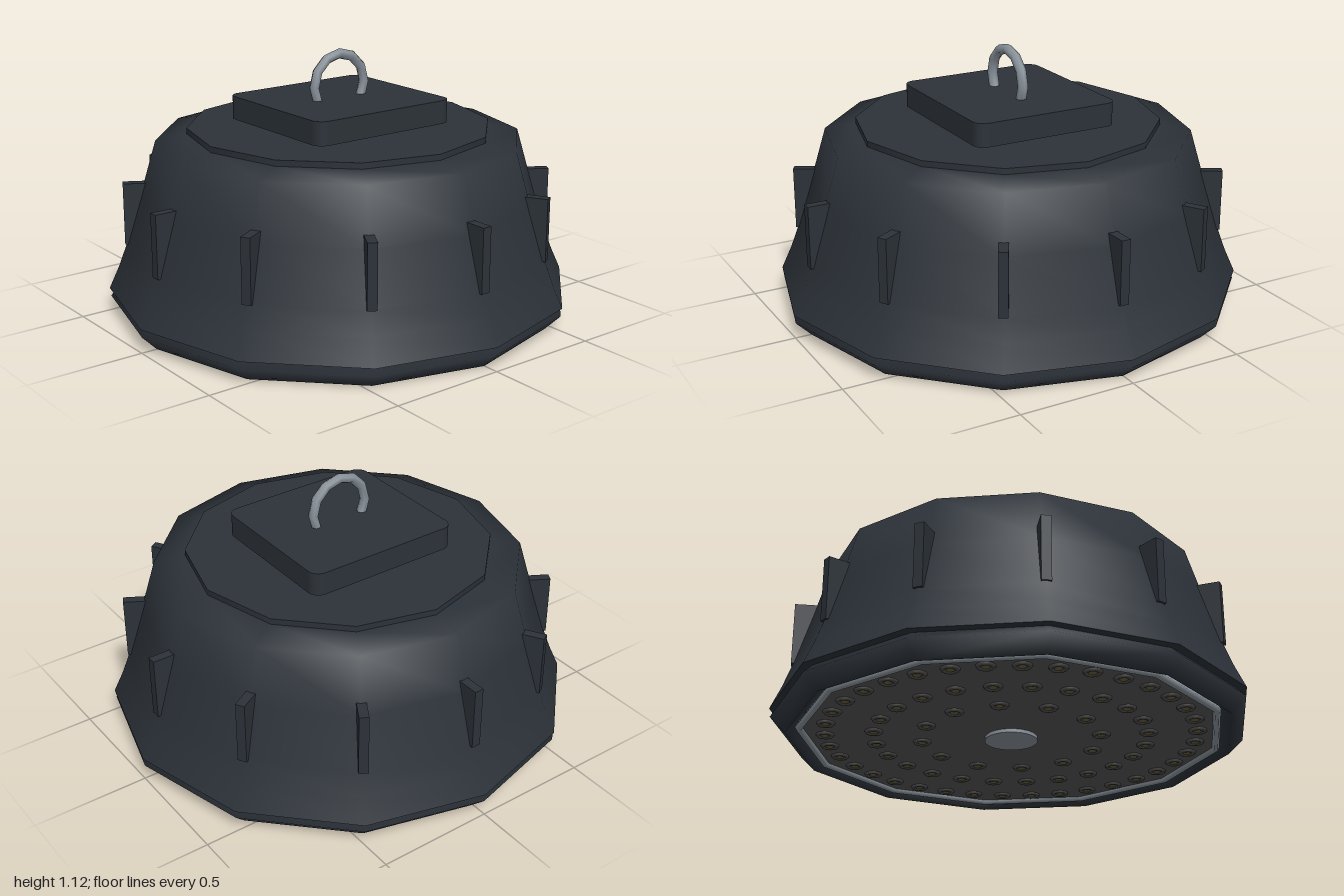
import * as THREE from 'three';

const mat = (color) => new THREE.MeshStandardMaterial({ color });
const SIDES = 12;

export function createModel() {
  const model = new THREE.Group();
  const dark = mat(0x2c3239);
  const silver = mat(0x8a939c);
  const panelGrey = mat(0x555555);
  const lampRim = mat(0x4a4a4a);
  const lampGlow = mat(0x6b6238);

  const add = (name, geometry, material, x = 0, y = 0, z = 0, parent = model) => {
    const mesh = new THREE.Mesh(geometry, material);
    mesh.name = name;
    mesh.position.set(x, y, z);
    parent.add(mesh);
    return mesh;
  };
  const lathe = (points) =>
    new THREE.LatheGeometry(points.map(([r, y]) => new THREE.Vector2(r, y)), SIDES);
  const flatRing = (radius, tube, tubeSides) =>
    new THREE.TorusGeometry(radius, tube, tubeSides, SIDES).rotateX(Math.PI / 2);

  // Twelve-sided housing with a softly sloped shoulder
  add('housing', lathe([
    [1, 0.1], [0.955, 0.2], [0.918, 0.3], [0.85, 0.52], [0.782, 0.75], [0.65, 0.775], [0, 0.775],
  ]), dark);
  add('housingUnderside', lathe([[0, 0.1], [1, 0.1]]), dark);
  add('topPlate', new THREE.CylinderGeometry(0.65, 0.65, 0.03, SIDES), dark, 0, 0.785, 0);

  // Cooling fins around the housing
  const fins = new THREE.Group();
  fins.name = 'fins';
  model.add(fins);
  const finGeometry = new THREE.BoxGeometry(0.04, 0.27, 0.17).translate(0, 0.435, 0.84);
  for (let i = 0; i < SIDES; i++) {
    add('fin', finGeometry, dark, 0, 0, 0, fins).rotation.y = (i * Math.PI * 2) / SIDES;
  }

  // Rounded driver box floating just above the top plate
  const w = 0.35, d = 0.325, r = 0.05;
  const outline = new THREE.Shape();
  outline.moveTo(-w + r, -d);
  outline.absarc(w - r, -d + r, r, -Math.PI / 2, 0);
  outline.absarc(w - r, d - r, r, 0, Math.PI / 2);
  outline.absarc(-w + r, d - r, r, Math.PI / 2, Math.PI);
  outline.absarc(-w + r, -d + r, r, Math.PI, Math.PI * 1.5);
  const box = new THREE.ExtrudeGeometry(outline, { depth: 0.1, bevelEnabled: false, curveSegments: 5 });
  add('driverBox', box.rotateX(-Math.PI / 2), dark, 0, 0.815, 0);

  // Hanging ring
  add('hangingRing', new THREE.TorusGeometry(0.132, 0.022, 6, 12), silver, 0, 0.97, 0);

  // Bottom bezel, trim and lamp panel
  add('bezel', flatRing(0.93, 0.065, 4), dark, 0, 0.065, 0);
  add('trimRing', flatRing(0.875, 0.016, 6), silver, 0, 0.025, 0);
  add('lampPanel', new THREE.CylinderGeometry(0.87, 0.87, 0.04, SIDES), panelGrey, 0, 0.045, 0);
  add('centreCap', new THREE.CylinderGeometry(0.11, 0.11, 0.03, 24), silver, 0, 0.025, 0);

  // Three rings of small lamps: [radius, count, angle offset in degrees]
  const lamps = new THREE.Group();
  lamps.name = 'lamps';
  model.add(lamps);
  const rim = new THREE.TorusGeometry(0.029, 0.01, 6, 12).rotateX(Math.PI / 2);
  const lens = new THREE.CylinderGeometry(0.018, 0.018, 0.01, 8);
  for (const [radius, count, offset] of [[0.375, 12, 15], [0.57, 24, 0], [0.77, 36, 5]]) {
    for (let i = 0; i < count; i++) {
      const a = (i / count) * Math.PI * 2 + THREE.MathUtils.degToRad(offset);
      const x = Math.sin(a) * radius, z = Math.cos(a) * radius;
      add('lampRim', rim, lampRim, x, 0.024, z, lamps);
      add('lampLens', lens, lampGlow, x, 0.023, z, lamps);
    }
  }
  return model;
}
